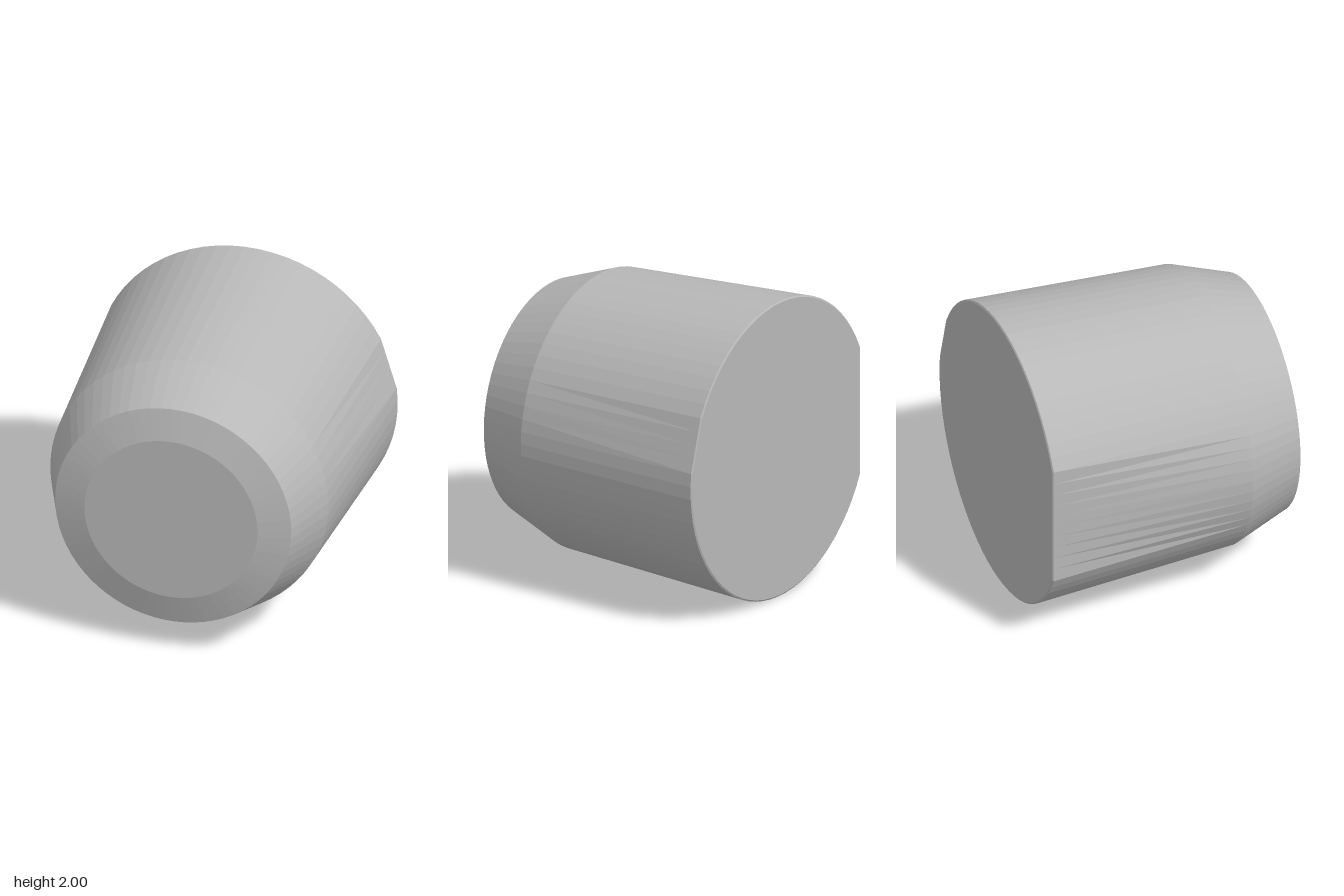
import * as THREE from 'three';

const CENTRE_X = -0.037, CENTRE_Y = 1;

// Arcs round the outline in degrees: start, end, steps, flattened at the back
const ARCS = [
  [6.3, 27.3, 4, true],
  [27.3, 154.8, 24, false],
  [154.8, 205.2, 10, true],
  [205.2, 366.3, 32, false],
];

// Rings from front to back: z, radius, amount of flattening
const RINGS = [
  [0.91, 0, 0],
  [0.91, 0.575, 0],
  [0.855, 0.785, 0],
  [0.47, 0.925, 0],
  [-0.905, 1, 1],
  [-0.912, 0.99, 1],
  [-0.912, 0, 1],
];

// Unit outline: angle, and radius factor where the back is cut straight
function outline() {
  const points = [];
  for (const [start, end, steps, flat] of ARCS) {
    const half = THREE.MathUtils.degToRad((end - start) / 2);
    const middle = THREE.MathUtils.degToRad((end + start) / 2);
    for (let i = 0; i < steps; i++) {
      const offset = -half + (2 * half * i) / steps;
      points.push({ angle: middle + offset, cut: flat ? Math.cos(half) / Math.cos(offset) : 1 });
    }
  }
  return points;
}

function loftBody() {
  const points = outline(), n = points.length;
  const positions = [], index = [];
  for (const [z, radius, flatten] of RINGS) {
    for (const { angle, cut } of points) {
      const r = radius * THREE.MathUtils.lerp(1, cut, flatten);
      positions.push(CENTRE_X + r * Math.cos(angle), CENTRE_Y + r * Math.sin(angle), z);
    }
  }
  for (let k = 0; k < RINGS.length - 1; k++) {
    for (let i = 0; i < n; i++) {
      const j = (i + 1) % n;
      const a = k * n + i, b = k * n + j, c = a + n, d = b + n;
      // Skip the collapsed triangles at the cap centres
      if (RINGS[k][1] > 0) index.push(a, c, b);
      if (RINGS[k + 1][1] > 0) index.push(b, c, d);
    }
  }
  const indexed = new THREE.BufferGeometry();
  indexed.setAttribute('position', new THREE.Float32BufferAttribute(positions, 3));
  indexed.setIndex(index);
  const geometry = indexed.toNonIndexed();
  geometry.computeVertexNormals();
  return geometry;
}

export function createModel() {
  const grey = new THREE.MeshStandardMaterial({ color: 0xb8b8b8 });
  grey.name = 'grey';
  grey.flatShading = true;

  // Tapered body with bevelled nose and two flats at the back
  const body = new THREE.Mesh(loftBody(), grey);
  body.name = 'body';

  const group = new THREE.Group();
  group.name = 'taperedPlug';
  group.add(body);
  return group;
}
